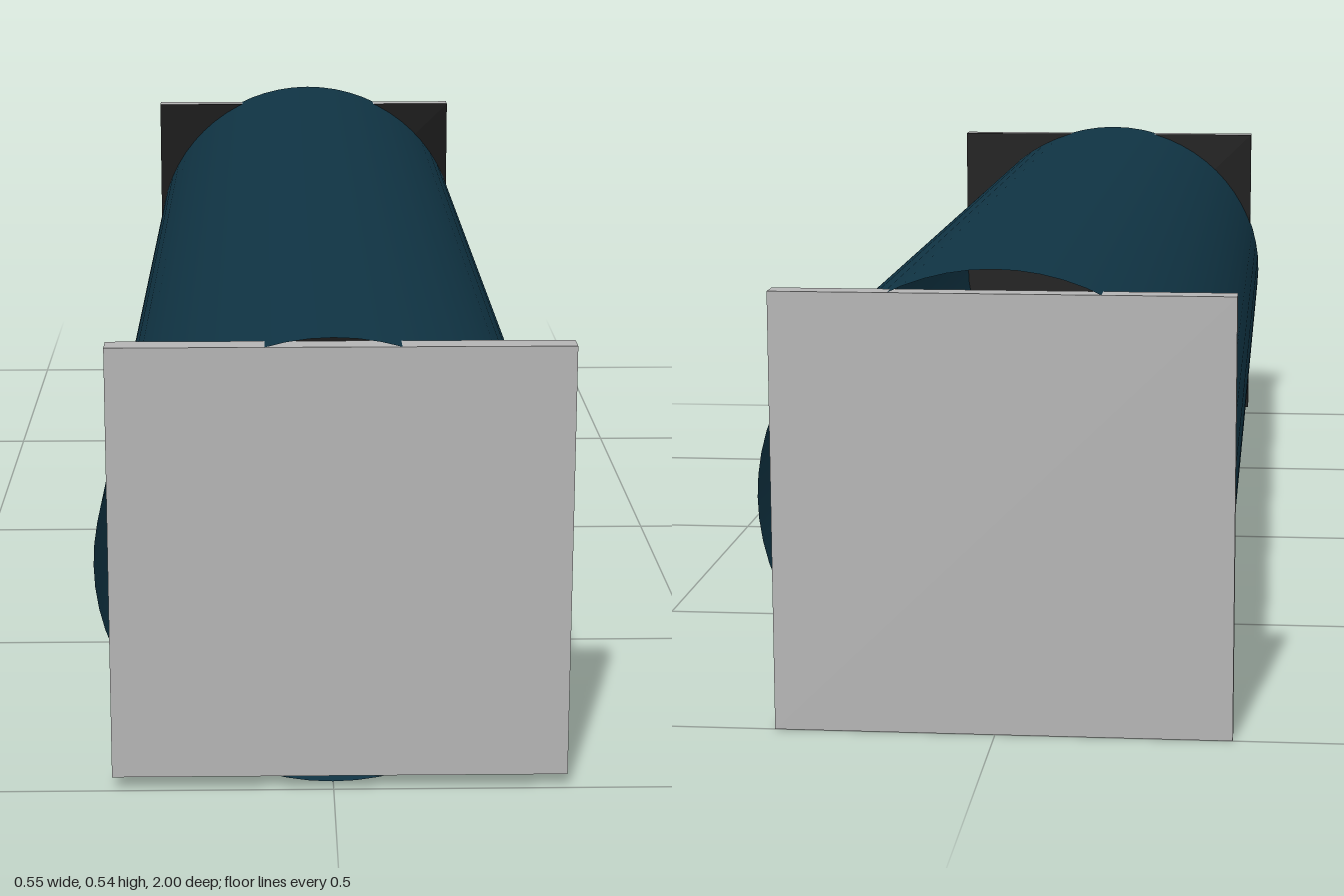
import * as THREE from 'three';

const material = (name, color, side = THREE.FrontSide) => {
  const m = new THREE.MeshStandardMaterial({ side });
  m.name = name;
  m.color.set(color);
  return m;
};

export function createModel() {
  const plateGrey = material('plate grey', 0xb4b4b4);
  const innerBlack = material('inner black', 0x0b0b0b);
  const tubeBlue = material('tube blue', 0x103444, THREE.DoubleSide);
  const model = new THREE.Group();
  model.name = 'cappedTube';

  // Open round tube along z, slightly wider than tall
  const tubeGeometry = new THREE.CylinderGeometry(1, 1, 2, 64, 1, true);
  tubeGeometry.rotateX(Math.PI / 2);
  tubeGeometry.scale(0.274, 0.267, 1);
  const tube = new THREE.Mesh(tubeGeometry, tubeBlue);
  tube.name = 'tube';
  tube.position.set(-0.001, 0.277, 0);
  model.add(tube);

  // Square end plates, slightly offset from each other, black on the inside
  const addPlate = (name, x, y, end) => {
    const sides = Array(6).fill(plateGrey);
    sides[end > 0 ? 5 : 4] = innerBlack;
    const plate = new THREE.Mesh(new THREE.BoxGeometry(0.533, 0.516, 0.03), sides);
    plate.name = name;
    plate.position.set(x, y, end * 0.985);
    model.add(plate);
  };
  addPlate('frontPlate', 0.0075, 0.275, 1);
  addPlate('backPlate', -0.0085, 0.258, -1);

  return model;
}
